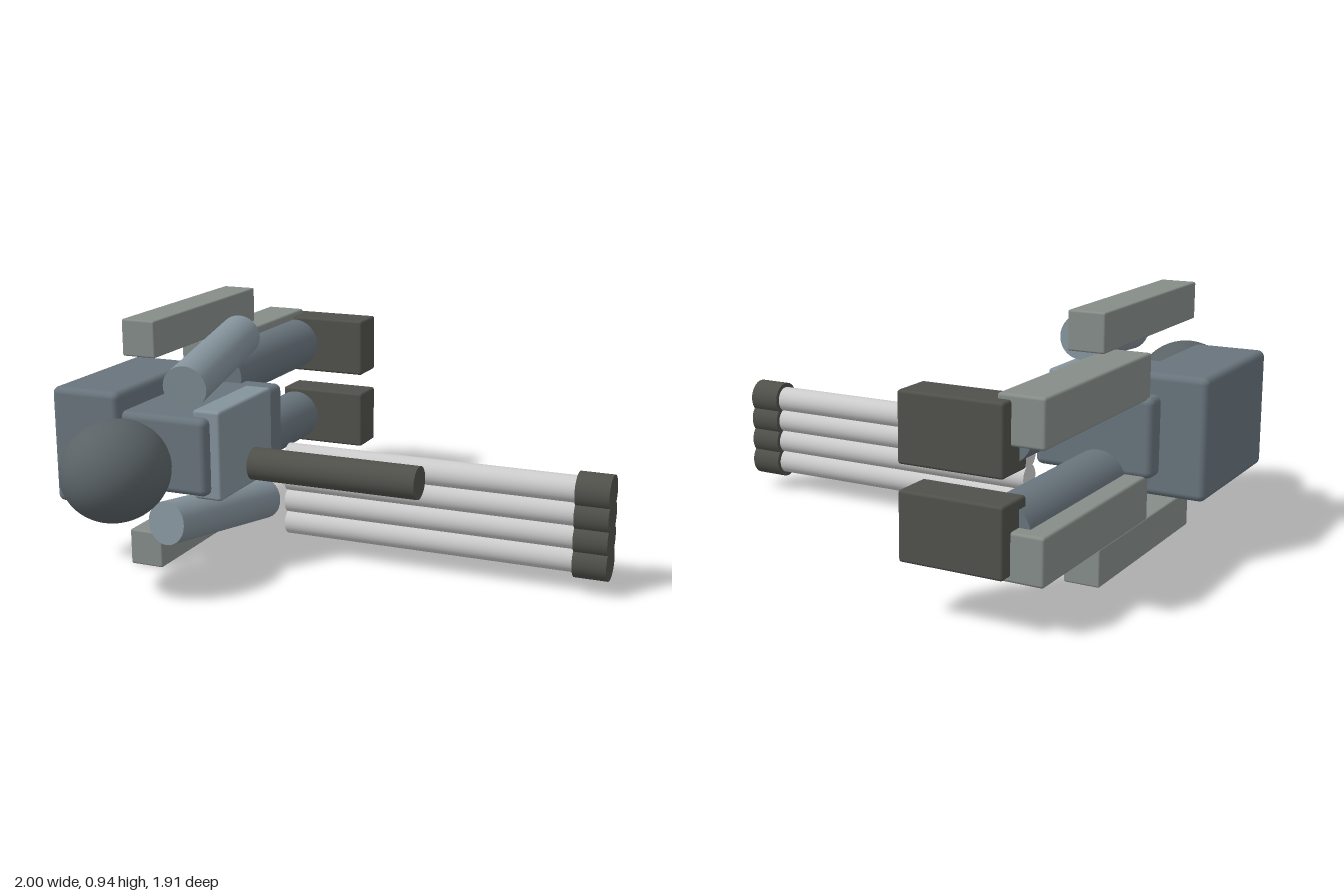
import * as THREE from 'three';
import { RoundedBoxGeometry } from 'three/addons/geometries/RoundedBoxGeometry.js';

const mat = (color) => new THREE.MeshStandardMaterial({ color });
const armour = mat(0x68747c), limb = mat(0x84929b), skull = mat(0x5a6266);
const rail = mat(0x868d89), dark = mat(0x50504b), steel = mat(0xcccccc);

export function createModel() {
  const model = new THREE.Group();

  const add = (name, geometry, material) => {
    const mesh = new THREE.Mesh(geometry, material);
    mesh.name = name;
    model.add(mesh);
    return mesh;
  };

  // Rounded box given by its limits on each axis
  const box = (name, material, [x0, x1], [y0, y1], [z0, z1], bevel) => {
    const geometry = new RoundedBoxGeometry(x1 - x0, y1 - y0, z1 - z0, 3, bevel);
    add(name, geometry, material).position.set((x0 + x1) / 2, (y0 + y1) / 2, (z0 + z1) / 2);
  };

  // Capped cylinder between two points
  const rod = (name, material, from, to, radius) => {
    const a = new THREE.Vector3(...from), b = new THREE.Vector3(...to);
    const dir = b.clone().sub(a);
    const mesh = add(name, new THREE.CylinderGeometry(radius, radius, dir.length(), 32), material);
    mesh.position.copy(a).add(b).multiplyScalar(0.5);
    mesh.quaternion.setFromUnitVectors(new THREE.Vector3(0, 1, 0), dir.normalize());
  };

  // Head and body, lying along z
  const head = add('head', new THREE.SphereGeometry(1, 40, 28), skull);
  head.scale.set(0.187, 0.181, 0.214);
  head.position.set(-0.605, 0.475, 0.74);
  box('torso', armour, [-0.83, -0.38], [0.33, 0.62], [-0.14, 0.505], 0.025);
  box('chestPlate', limb, [-0.45, -0.34], [0.31, 0.645], [0.04, 0.465], 0.012);
  box('backpack', armour, [-1, -0.72], [0.255, 0.695], [-0.07, 0.535], 0.025);

  // Legs, feet and rails, mirrored about the body's mid height
  const mid = 0.475;
  for (const s of [1, -1]) {
    const span = (a, b) => [mid + s * a, mid + s * b].sort((p, q) => p - q);
    rod('leg', armour, [-0.63, mid + s * 0.163, -0.07], [-0.63, mid + s * 0.163, -0.85], 0.105);
    box('foot', dark, [-0.69, -0.315], span(0.042, 0.28), [-0.955, -0.8], 0.01);
    box('legRail', rail, [-0.805, -0.64], span(0.135, 0.298), [-0.905, -0.1], 0.01);
    box('sideRail', rail, [-0.755, -0.62], span(0.335, 0.472), [-0.385, 0.425], 0.007);
  }

  // Arms
  rod('upperArm', limb, [-0.455, 0.733, 0.505], [-0.545, 0.805, -0.105], 0.082);
  rod('lowerArm', limb, [-0.55, 0.215, 0.505], [-0.455, 0.145, -0.105], 0.082);

  // Row of four barrels with muzzles
  for (let i = 0; i < 4; i++) {
    const y = 0.126 + i * 0.087;
    rod('barrel', steel, [-0.26, y, 0.054], [0.98, y, 0.054], 0.05);
    rod('muzzle', dark, [0.875, y, 0.054], [1, y, 0.054], 0.067);
  }

  // Single chest tube
  rod('chestTube', dark, [-0.4, 0.386, 0.2], [0.325, 0.386, 0.2], 0.062);

  return model;
}
